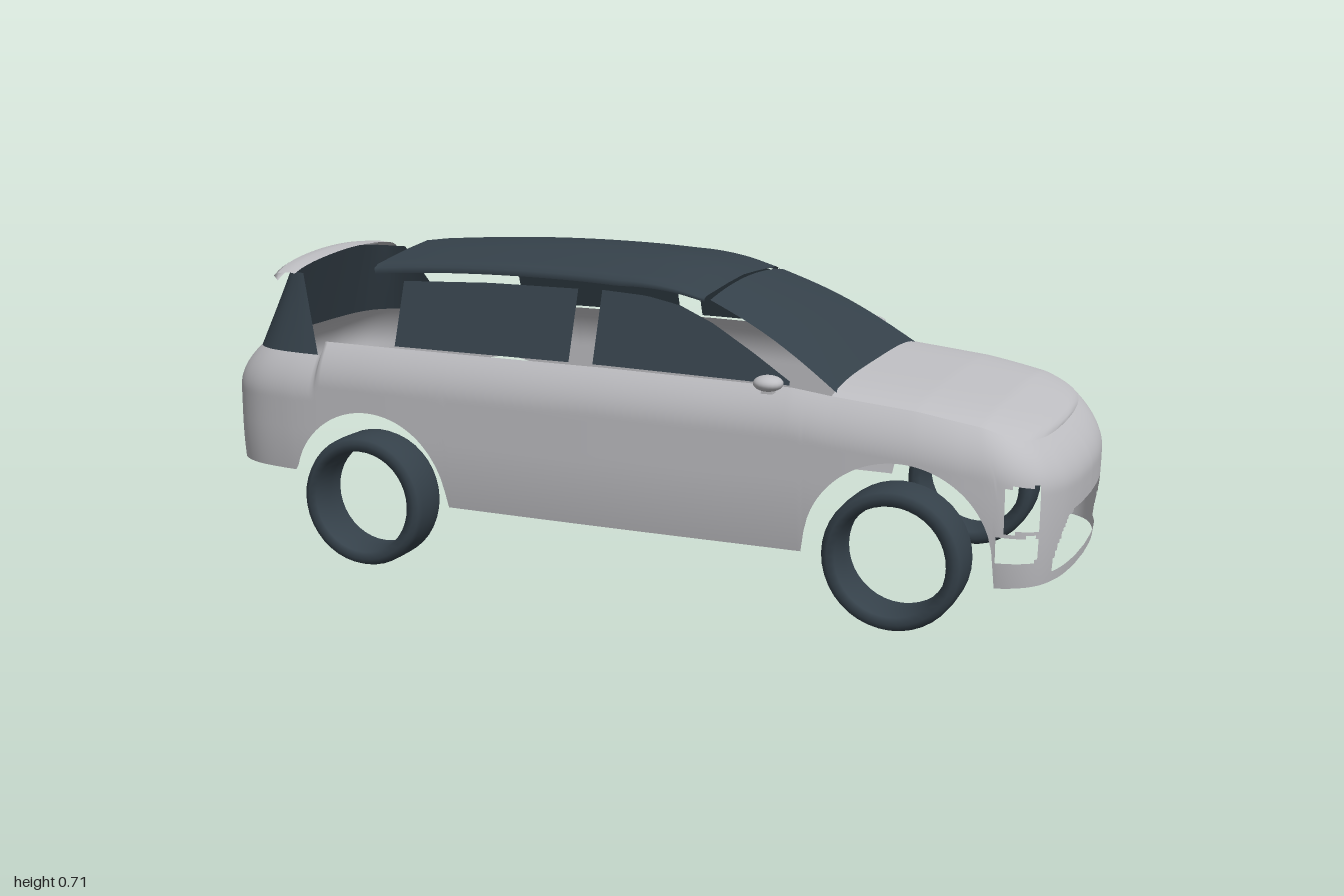
import * as THREE from 'three';

const paint = new THREE.MeshStandardMaterial({ color: 0xbebec2, side: THREE.DoubleSide });
paint.name = 'silver paint';
const dark = new THREE.MeshStandardMaterial({ color: 0x35414a, side: THREE.DoubleSide });
dark.name = 'dark glass and rubber';

const V = (x, y, z) => new THREE.Vector3(x, y, z);
const steps = (n, f) => Array.from({ length: n + 1 }, (_, i) => f(i / n));

// Linear lookup in a short table of [x, value] pairs
function lut(table, x) {
  if (x <= table[0][0]) return table[0][1];
  for (let i = 1; i < table.length; i++) {
    const [x0, a] = table[i - 1], [x1, b] = table[i];
    if (x <= x1) return a + (b - a) * (x - x0) / (x1 - x0);
  }
  return table[table.length - 1][1];
}

// Smooth open surface through columns of points; keep() can cut openings
function skin(name, material, cols, keep = () => true) {
  const n = cols[0].length, pos = [], idx = [];
  cols.forEach(c => c.forEach(p => pos.push(p.x, p.y, p.z)));
  for (let i = 0; i < cols.length - 1; i++) {
    for (let j = 0; j < n - 1; j++) {
      const mid = cols[i][j].clone().add(cols[i + 1][j + 1]).multiplyScalar(0.5);
      if (!keep(mid)) continue;
      const a = i * n + j, b = a + n;
      idx.push(a, b, a + 1, b, b + 1, a + 1);
    }
  }
  const g = new THREE.BufferGeometry();
  g.setAttribute('position', new THREE.Float32BufferAttribute(pos, 3));
  g.setIndex(idx);
  g.computeVertexNormals();
  const mesh = new THREE.Mesh(g, material);
  mesh.name = name;
  return mesh;
}

// Plan outline of one side, rear centre to nose centre
const planPoints = [[-1, 0], [-0.995, 0.13], [-0.985, 0.22], [-0.955, 0.285], [-0.9, 0.325], [-0.8, 0.35],
  [-0.6, 0.362], [-0.3, 0.368], [0, 0.37], [0.3, 0.368], [0.6, 0.364], [0.8, 0.353], [0.9, 0.332],
  [0.95, 0.292], [0.98, 0.22], [0.995, 0.12], [1, 0]];
const halfPlan = new THREE.CatmullRomCurve3(planPoints.map(([x, z]) => V(x, 0, z)), false, 'centripetal').getSpacedPoints(320);

const WHEELS = [-0.575, 0.665], AXLE = 0.153;
const topTable = [[-0.715, 0.47], [-0.705, 0.503], [0, 0.497], [0.43, 0.487], [0.52, 0.475],
  [0.7, 0.457], [0.85, 0.432], [0.95, 0.402], [1, 0.39]];
const topAt = x => lut(topTable, x);

function bottomAt(x) {
  for (const c of WHEELS) {
    const d = Math.abs(x - c);
    if (d < 0.199) return AXLE + Math.sqrt(0.04 - d * d);
  }
  if (x < WHEELS[0]) return 0.2;
  return x > WHEELS[1] ? 0.1 : lut([[-0.38, 0.152], [0.47, 0.142]], x);
}

// Wall point: rounded in at the shoulder, tucked under at the sill
function wall(p, y) {
  const r = Math.max(0, 1 - (topAt(p.x) - y) / 0.1) ** 2;
  const tuck = Math.max(0, (0.3 - y) / 0.2) ** 2;
  const end = Math.abs(p.x) ** 6;
  return V(p.x * (1 - end * (0.06 * r + 0.012 * tuck)), y, p.z * (1 - 0.1 * r - 0.06 * tuck));
}

// Grille and corner vents
function solid({ x, y, z }) {
  const a = Math.abs(z);
  if (x > 0.8 && y > 0.125 && y < 0.235 && a < lut([[0.125, 0.235], [0.145, 0.235], [0.2, 0.208], [0.235, 0.172]], y)) return false;
  const upper = x > 0.885 && x < 0.95 && y > 0.222 && y < 0.318;
  const lower = x > 0.868 && x < 0.945 && y > 0.157 && y < 0.212;
  return !((upper || lower) && a > 0.27);
}

export function createModel() {
  const car = new THREE.Group();
  car.name = 'car';
  const mirrorZ = p => V(p.x, p.y, -p.z);

  // Body wall all the way round
  const loop = [...halfPlan, ...halfPlan.slice(0, -1).reverse().map(mirrorZ)];
  car.add(skin('bodyShell', paint, loop.map(p => {
    const b = bottomAt(p.x), t = topAt(p.x);
    return steps(40, v => wall(p, b + (t - b) * v));
  }), solid));

  // Bonnet spans the two shoulder lines
  const shoulders = halfPlan.filter(p => p.x > 0.515).map(p => wall(p, topAt(p.x)));
  car.add(skin('bonnet', paint, shoulders.map(e => steps(24, v => {
    const s = 1 - 2 * v;
    return V(e.x, e.y + 0.018 * (e.z / 0.32) * (1 - s ** 4), e.z * s);
  }))));

  // Rear glass wraps from one quarter window to the other
  const rear = halfPlan.filter(p => p.x < -0.72).map(p => wall(p, 0.47));
  const rearLoop = [...rear.slice(1).reverse().map(mirrorZ), ...rear];
  const rearTop = b => {
    const z = b.z * 0.75;
    return V(-0.868 + (b.x + 0.94) * 0.3, 0.642 + 0.022 * (1 - (z / 0.25) ** 2), z);
  };
  car.add(skin('rearGlass', dark, rearLoop.map(b => steps(6, v => b.clone().lerp(rearTop(b), v)))));

  // Spoiler cap over the rear glass
  car.add(skin('spoiler', paint, steps(24, u => {
    const s = 2 * u - 1, y = 0.672 - 0.022 * s * s - 0.012 * s ** 8;
    const z = 0.242 * s;
    return [V(-0.872, y - 0.016, z), V(-0.882, y - 0.005, z), V(-0.87, y + 0.002, z),
      V(-0.84, y + 0.005, z), V(-0.805 - 0.02 * s ** 4, y + 0.003, z)];
  })));

  // Roof
  const roofLine = [[-0.605, 0.7], [-0.5, 0.708], [-0.35, 0.714], [-0.2, 0.715], [-0.05, 0.711], [0.05, 0.703], [0.13, 0.687], [0.2, 0.664]];
  const roofCurve = new THREE.CatmullRomCurve3(roofLine.map(([x, y]) => V(x, y, 0)));
  const section = [[-0.25, -0.045], [-0.252, -0.032], [-0.235, -0.024], [-0.2, -0.02], [-0.1, -0.008], [0, 0],
    [0.1, -0.008], [0.2, -0.02], [0.235, -0.024], [0.252, -0.032], [0.25, -0.045]];
  car.add(skin('roof', dark, roofCurve.getPoints(40).map(p => {
    const drop = lut([[0, 1], [0.2, 0.55]], p.x);
    return section.map(([z, dy]) => V(p.x, p.y + dy * drop, z * lut([[0, 1], [0.2, 0.97]], p.x)));
  })));

  // Windscreen
  car.add(skin('windscreen', dark, steps(12, u => steps(20, v => {
    const s = 2 * v - 1, half = 0.24 + 0.07 * u;
    const y = 0.662 - 0.176 * u + 0.014 * Math.sin(Math.PI * u) - 0.018 * (1 - 0.6 * u) * s * s;
    return V(0.212 + 0.308 * u, y, half * s);
  }))));

  // Side windows lean inwards
  const windowTops = {
    rearSideWindow: [[-0.513, 0.648], [-0.3, 0.656], [-0.082, 0.656]],
    frontSideWindow: [[-0.025, 0.657], [0.08, 0.651], [0.16, 0.636], [0.24, 0.604], [0.34, 0.55], [0.425, 0.5]],
  };
  for (const side of [1, -1]) {
    for (const [name, line] of Object.entries(windowTops)) {
      const x0 = line[0][0], x1 = line[line.length - 1][0];
      car.add(skin(name, dark, steps(24, u => {
        const x = x0 + (x1 - x0) * u, b = topAt(x) + 0.005, t = Math.max(b, lut(line, x));
        return steps(5, v => {
          const y = b + (t - b) * v;
          return V(x, y, side * (0.333 - (y - 0.5) * 0.36));
        });
      })));
    }

    // Door mirror with a small foot
    const mirror = new THREE.Group();
    mirror.name = 'doorMirror';
    const shell = new THREE.Mesh(new THREE.SphereGeometry(1, 20, 14), paint);
    shell.name = 'mirrorShell';
    shell.scale.set(0.032, 0.017, 0.03);
    const foot = new THREE.Mesh(new THREE.BoxGeometry(0.025, 0.008, 0.02), paint);
    foot.name = 'mirrorFoot';
    foot.position.set(0, -0.017, 0);
    mirror.add(shell, foot);
    mirror.position.set(0.395, 0.504, side * 0.384);
    car.add(mirror);

    // Tyres are open rings
    for (const x of WHEELS) {
      const profile = [[0.118, -0.053], [0.135, -0.055], [0.146, -0.05], [0.151, -0.038], [0.152, 0],
        [0.151, 0.038], [0.146, 0.05], [0.135, 0.055], [0.118, 0.053], [0.113, 0], [0.118, -0.053]];
      const tyre = new THREE.Mesh(new THREE.LatheGeometry(profile.map(([r, w]) => new THREE.Vector2(r, w)), 40), dark);
      tyre.name = 'tyre';
      tyre.rotation.x = Math.PI / 2;
      tyre.position.set(x, AXLE, side * 0.342);
      car.add(tyre);
    }
  }
  return car;
}
